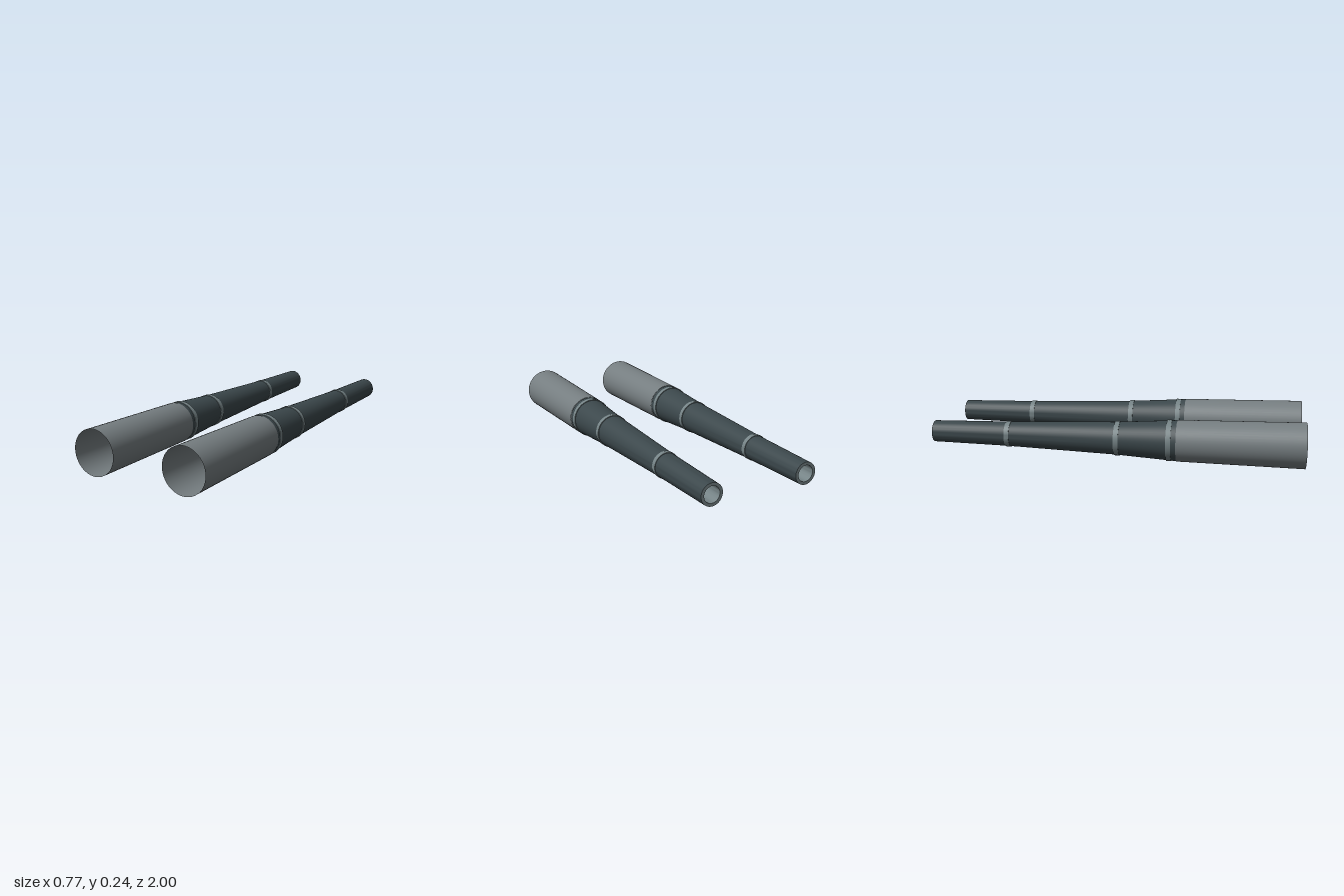
import * as THREE from 'three';
import { toCreasedNormals } from 'three/addons/utils/BufferGeometryUtils.js';

const SEGMENTS = 48;

function material(name, color) {
  const m = new THREE.MeshStandardMaterial({ color, side: THREE.DoubleSide });
  m.name = name;
  return m;
}

// Lathe a list of [z, radius] around the z axis, keeping sharp edges
function turned(name, profile, mat) {
  const points = profile.map(([z, r]) => new THREE.Vector2(r, z));
  const geometry = new THREE.LatheGeometry(points, SEGMENTS).rotateX(Math.PI / 2);
  const mesh = new THREE.Mesh(toCreasedNormals(geometry, 0.6), mat);
  mesh.name = name;
  return mesh;
}

export function createModel() {
  const sleeveGrey = material('sleeve grey', 0x757d80);
  const darkSlate = material('dark slate', 0x3b474b);
  const bandGrey = material('band grey', 0x758386);

  const model = new THREE.Group();
  model.name = 'taperedTubes';

  for (const side of [-1, 1]) {
    const tube = new THREE.Group();
    tube.name = side > 0 ? 'leftTube' : 'rightTube';
    tube.position.set(side * 0.264, 0.12, 0);

    // Wide open front sleeve
    tube.add(turned('sleeve', [[0.335, 0.11], [1, 0.12]], sleeveGrey));

    // Tapered rear body
    tube.add(turned('body', [[-1, 0.058], [-0.58, 0.066], [0.02, 0.088], [0.3, 0.106], [0.335, 0.1085]], darkSlate));

    // Raised bands: [centre z, radius, half width]
    for (const [z, r, w] of [[0.295, 0.109, 0.013], [0.018, 0.0915, 0.013], [-0.58, 0.069, 0.013]]) {
      const inner = r - 0.004;
      tube.add(turned('band', [[z - w, inner], [z - w, r], [z + w, r], [z + w, inner]], bandGrey));
    }

    // Rear rim and its inner bore
    tube.add(turned('rearRim', [[-1, 0.042], [-1, 0.058]], bandGrey));
    tube.add(turned('rearBore', [[-1, 0.042], [-0.85, 0.042]], bandGrey));

    model.add(tube);
  }
  return model;
}
